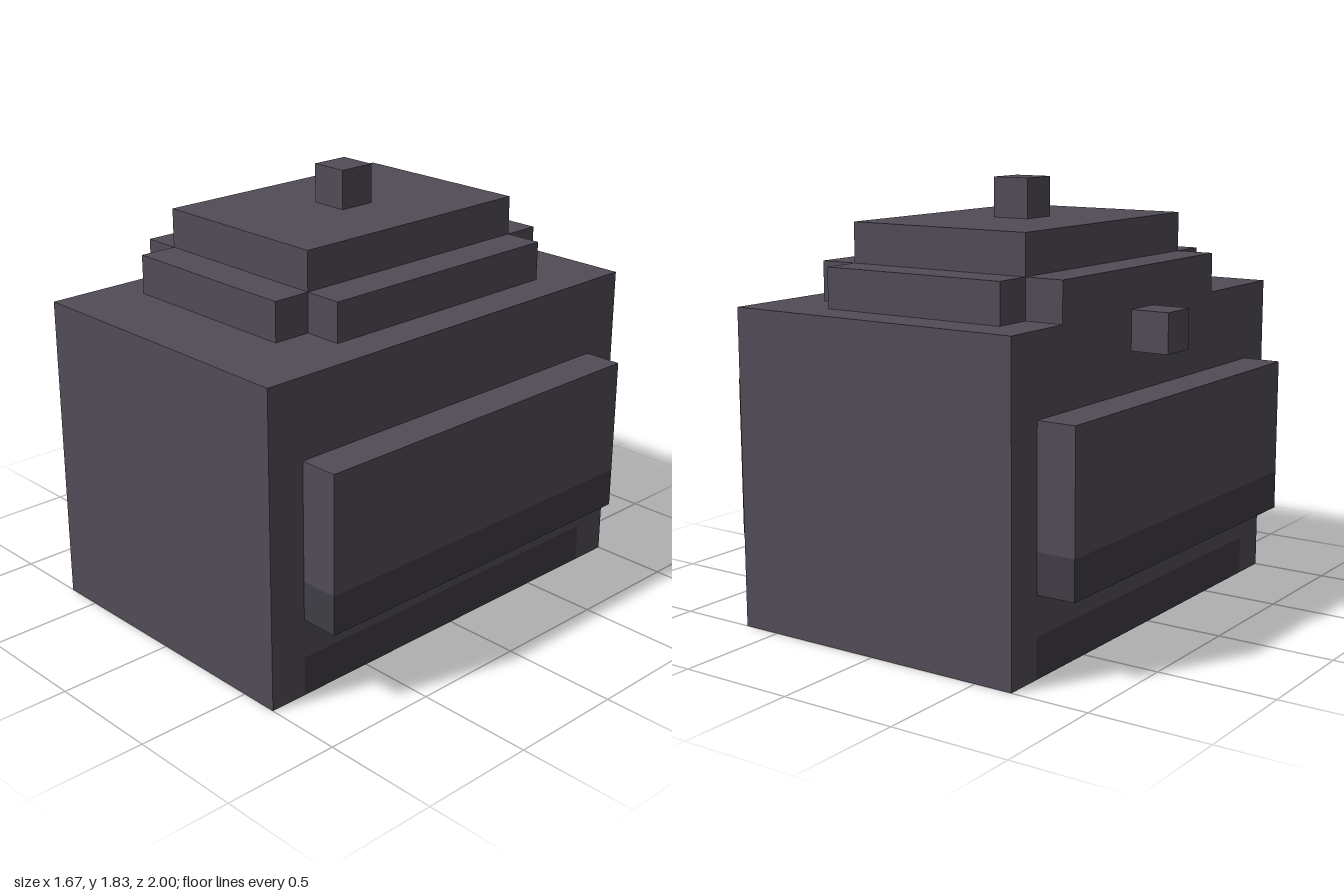
import * as THREE from 'three';

const lightMat = new THREE.MeshStandardMaterial({ color: 0x524c58 });
const darkMat = new THREE.MeshStandardMaterial({ color: 0x413e47 });

// Box given by its low and high corners, in blocks
function block(name, [x0, y0, z0], [x1, y1, z1], segments = [1, 1, 1]) {
  const geo = new THREE.BoxGeometry(x1 - x0, y1 - y0, z1 - z0, ...segments);
  geo.translate((x0 + x1) / 2, (y0 + y1) / 2, (z0 + z1) / 2);
  const mesh = new THREE.Mesh(geo, lightMat);
  mesh.name = name;
  return mesh;
}

// Box split into blocks, with the faces chosen by isDark(centre) in the dark colour
function twoToneBlock(name, low, high, isDark) {
  const mesh = block(name, low, high, high.map((h, i) => h - low[i]));
  const geo = mesh.geometry;
  const { array } = geo.index;
  const pos = geo.attributes.position;
  const parts = [[], []];
  const p = new THREE.Vector3();
  for (let i = 0; i < array.length; i += 3) {
    const centre = new THREE.Vector3();
    for (let k = 0; k < 3; k++) centre.addScaledVector(p.fromBufferAttribute(pos, array[i + k]), 1 / 3);
    parts[isDark(centre) ? 1 : 0].push(array[i], array[i + 1], array[i + 2]);
  }
  geo.setIndex([...parts[0], ...parts[1]]);
  geo.clearGroups();
  geo.addGroup(0, parts[0].length, 0);
  geo.addGroup(parts[0].length, parts[1].length, 1);
  mesh.material = [lightMat, darkMat];
  return mesh;
}

// One-block-high slab with stepped corners; steps are half extents [x, z]
function steppedTier(name, y, steps) {
  const quarter = [];
  steps.forEach(([x, z], i) => {
    if (i > 0) quarter.push([x, steps[i - 1][1]]);
    quarter.push([x, z]);
    if (i < steps.length - 1) quarter.push([x, steps[i + 1][1]]);
  });
  // Keep only the true corners, running from the x side to the z side
  const corners = quarter.filter(([x, z], i) => i === 0 || steps.some(([sx, sz]) => (sx === x && sz === z))
    || steps.some(([sx], k) => sx === x && steps[k + 1] && steps[k + 1][1] === z));
  const mirror = (sx, sz) => corners.map(([x, z]) => new THREE.Vector2(x * sx, z * sz));
  const outline = [
    ...mirror(1, 1), ...mirror(-1, 1).reverse(),
    ...mirror(-1, -1), ...mirror(1, -1).reverse(),
  ];
  const geo = new THREE.ExtrudeGeometry(new THREE.Shape(outline), { depth: 1, bevelEnabled: false });
  geo.rotateX(-Math.PI / 2).translate(-0.5, y, -0.5);
  const mesh = new THREE.Mesh(geo, lightMat);
  mesh.name = name;
  return mesh;
}

export function createModel() {
  const model = new THREE.Group();
  model.name = 'blockBuilding';

  // Main body with a dark strip along the foot of both sides and underneath
  model.add(twoToneBlock('body', [-4, 0, -6], [4, 8, 6], (c) => c.y < 1 && Math.abs(c.z) < 5));

  // Side panels with a dark lower row
  model.add(twoToneBlock('leftPanel', [4, 2, -5], [5, 6, 5], (c) => c.y < 3));
  model.add(twoToneBlock('rightPanel', [-5, 2, -5], [-4, 6, 5], (c) => c.y < 3));

  // Small knob above the right panel
  model.add(block('sideKnob', [-5, 7, -1], [-4, 8, 0]));

  // Stepped top and its finial
  model.add(steppedTier('lowerTier', 8, [[3.5, 2.5], [2.5, 3.5], [1.5, 4.5]]));
  model.add(steppedTier('upperTier', 9, [[2.5, 2.5], [1.5, 3.5]]));
  model.add(block('topKnob', [-1, 10, -1], [0, 11, 0]));

  // One block is a sixth of a unit
  model.scale.setScalar(1 / 6);
  return model;
}
